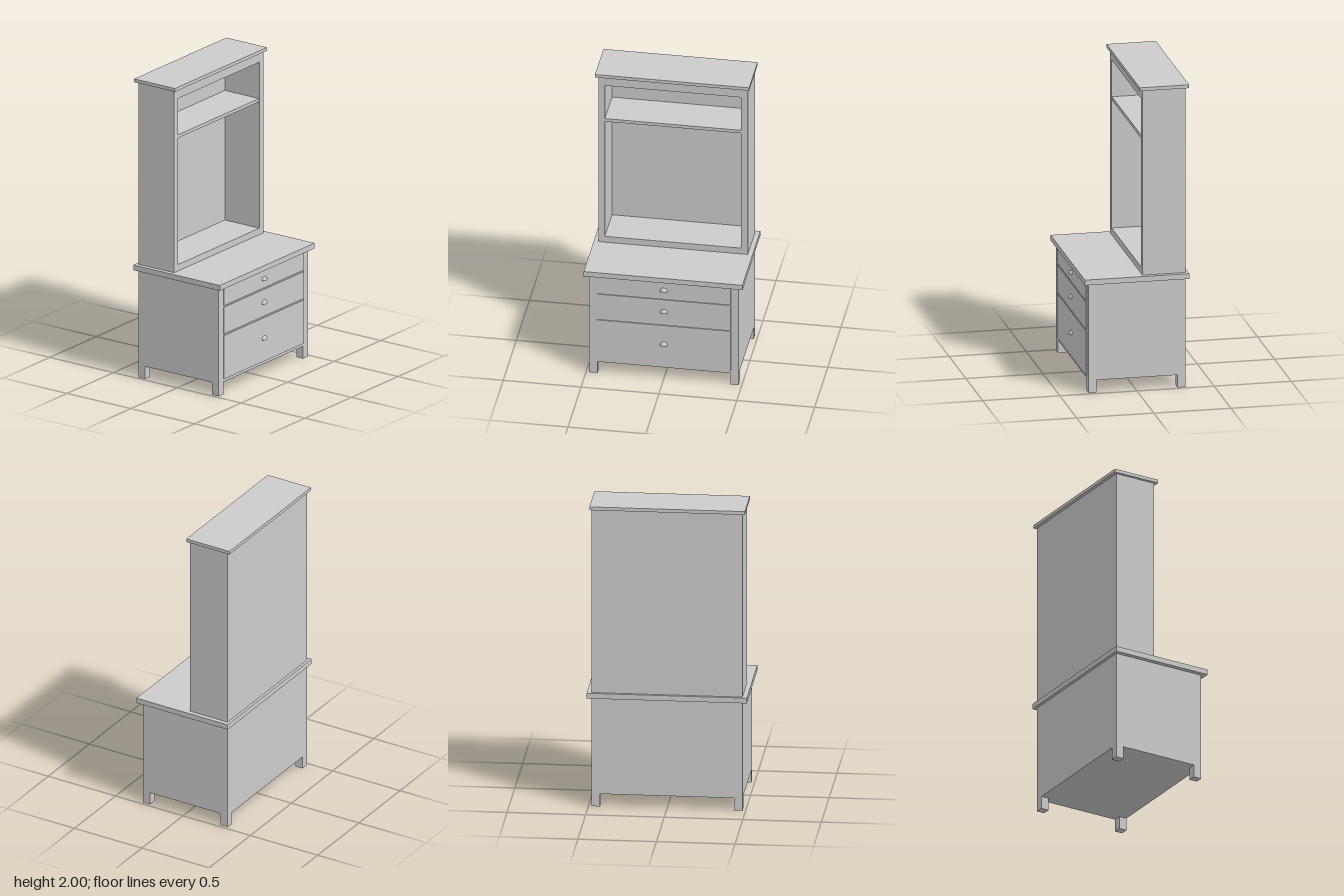
import * as THREE from 'three';

const material = new THREE.MeshStandardMaterial({ color: 0xcccccc });
const pullMaterial = new THREE.MeshStandardMaterial({ color: 0xcccccc, side: THREE.DoubleSide });

// Box given by its limits on each axis
function box(name, [x0, x1], [y0, y1], [z0, z1]) {
  const mesh = new THREE.Mesh(new THREE.BoxGeometry(x1 - x0, y1 - y0, z1 - z0), material);
  mesh.position.set((x0 + x1) / 2, (y0 + y1) / 2, (z0 + z1) / 2);
  mesh.name = name;
  return mesh;
}

function rectangle(path, x0, x1, y0, y1) {
  path.moveTo(x0, y0);
  path.lineTo(x1, y0);
  path.lineTo(x1, y1);
  path.lineTo(x0, y1);
  path.closePath();
  return path;
}

export function createModel() {
  const group = new THREE.Group();
  group.name = 'dresserWithHutch';

  // Lower chest
  group.add(box('chestBody', [-0.48, 0.48], [0.083, 0.722], [-0.32, 0.31]));
  group.add(box('countertop', [-0.51, 0.51], [0.722, 0.757], [-0.338, 0.34]));

  // Four short square legs
  for (const x of [-0.48, 0.427]) {
    for (const z of [-0.32, 0.257]) {
      group.add(box('leg', [x, x + 0.053], [0, 0.083], [z, z + 0.053]));
    }
  }

  // Drawer fronts, each with a half-dome cup pull
  const drawers = [
    { y: [0.103, 0.395], pull: 0.25 },
    { y: [0.405, 0.585], pull: 0.49 },
    { y: [0.595, 0.71], pull: 0.647 },
  ];
  for (const { y, pull } of drawers) {
    group.add(box('drawerFront', [-0.43, 0.43], y, [0.308, 0.316]));
    const cup = new THREE.Mesh(
      new THREE.SphereGeometry(0.025, 16, 8, 0, Math.PI, 0, Math.PI / 2), pullMaterial);
    cup.scale.z = 0.75;
    cup.position.set(0, pull, 0.315);
    cup.name = 'cupPull';
    group.add(cup);
  }

  // Open hutch: a deep frame closed by a thin back panel
  const frame = rectangle(new THREE.Shape(), -0.48, 0.48, 0.757, 1.978);
  frame.holes.push(rectangle(new THREE.Path(), -0.438, 0.436, 0.8, 1.912));
  const hutch = new THREE.Mesh(
    new THREE.ExtrudeGeometry(frame, { depth: 0.28, bevelEnabled: false }), material);
  hutch.position.z = -0.32;
  hutch.name = 'hutchFrame';
  group.add(hutch);
  group.add(box('hutchBack', [-0.44, 0.438], [0.798, 1.914], [-0.32, -0.31]));
  group.add(box('hutchShelf', [-0.438, 0.436], [1.646, 1.668], [-0.31, -0.042]));

  // Overhanging top
  group.add(box('hutchTop', [-0.498, 0.492], [1.978, 2], [-0.34, -0.02]));

  return group;
}
